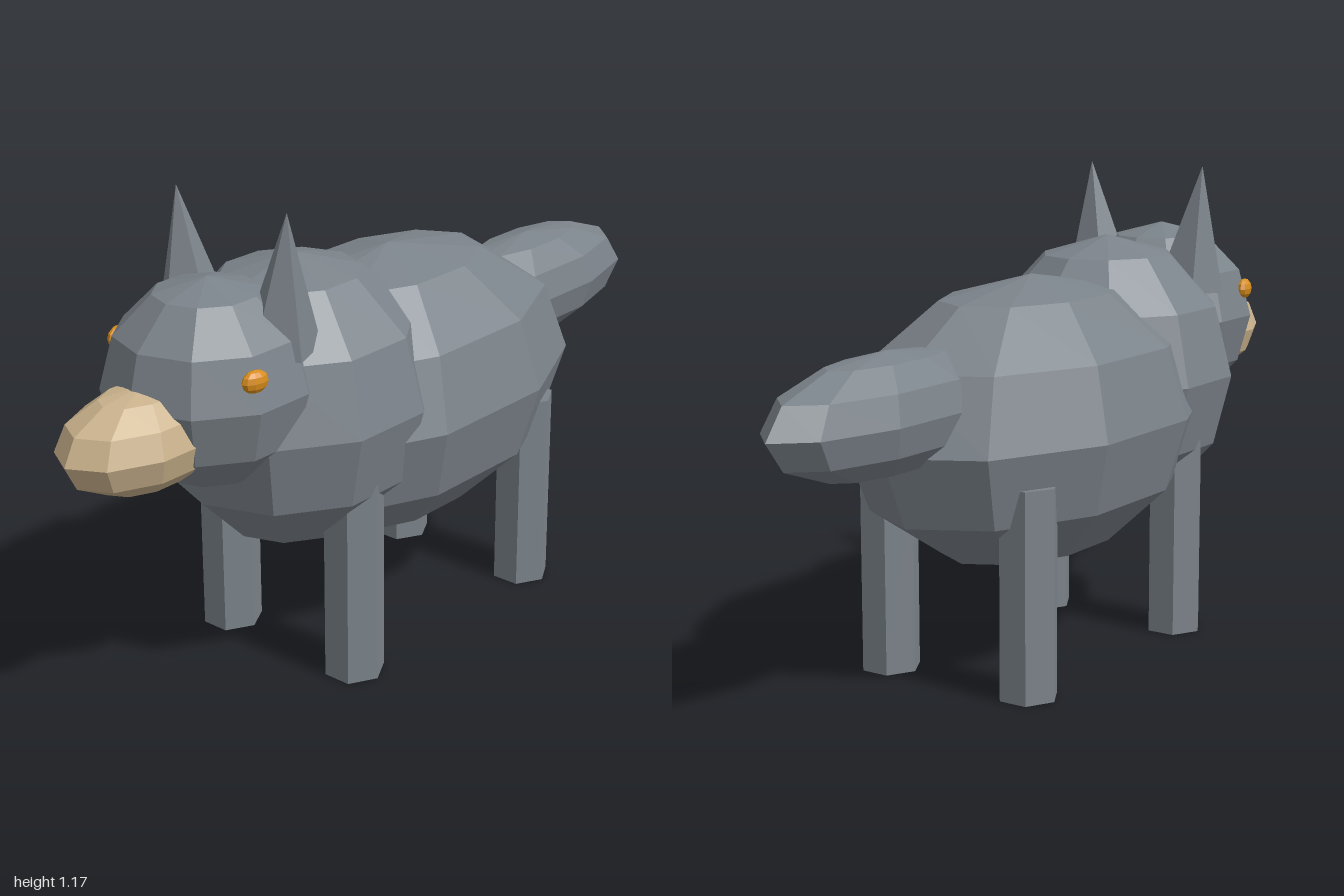
import * as THREE from 'three';

const flat = (name, color) => {
  const m = new THREE.MeshStandardMaterial({ color, flatShading: true });
  m.name = name;
  return m;
};

export function createModel() {
  const fur = flat('grey fur', 0x7b838a);
  const tan = flat('tan muzzle', 0xcab28c);
  const amber = flat('amber eye', 0xd88d1c);
  const group = new THREE.Group();
  group.name = 'lowPolyCanine';

  const add = (name, geometry, material, x, y, z) => {
    const mesh = new THREE.Mesh(geometry, material);
    mesh.name = name;
    mesh.position.set(x, y, z);
    group.add(mesh);
    return mesh;
  };

  // Ten-sided ellipsoid with a vertex on the front axis
  const blob = (name, material, [x, y, z], [rx, ry, rz]) => {
    const g = new THREE.SphereGeometry(1, 10, 6, Math.PI / 2);
    g.scale(rx, ry, rz);
    return add(name, g, material, x, y, z);
  };

  blob('body', fur, [0, 0.585, -0.04], [0.35, 0.35, 0.58]);
  blob('chest', fur, [0, 0.65, 0.3], [0.32, 0.35, 0.35]);
  blob('head', fur, [0, 0.77, 0.57], [0.24, 0.24, 0.245]);
  blob('muzzle', tan, [0, 0.7, 0.77], [0.14, 0.117, 0.23]);
  blob('tail', fur, [0, 0.685, -0.6], [0.14, 0.14, 0.4]);

  for (const side of [1, -1]) {
    const label = side > 0 ? 'left' : 'right';

    // Six-sided legs
    for (const [part, z] of [['FrontLeg', 0.315], ['BackLeg', -0.345]]) {
      const g = new THREE.CylinderGeometry(0.071, 0.071, 0.5, 6);
      g.rotateY(Math.PI / 2);
      g.scale(1, 1, 1.06);
      add(label + part, g, fur, side * 0.2, 0.25, z);
    }

    // Ears lean slightly outward
    const cone = new THREE.ConeGeometry(0.09, 0.315, 5);
    cone.translate(0, 0.1575, 0);
    const ear = add(label + 'Ear', cone, fur, side * 0.135, 0.853, 0.48);
    ear.rotation.set(0.03, 0, -side * 0.1);

    // Eyes
    const eye = blob(label + 'Eye', amber, [side * 0.21, 0.84, 0.643], [0.018, 0.026, 0.034]);
    eye.rotation.y = -side * 0.2;
  }
  return group;
}
